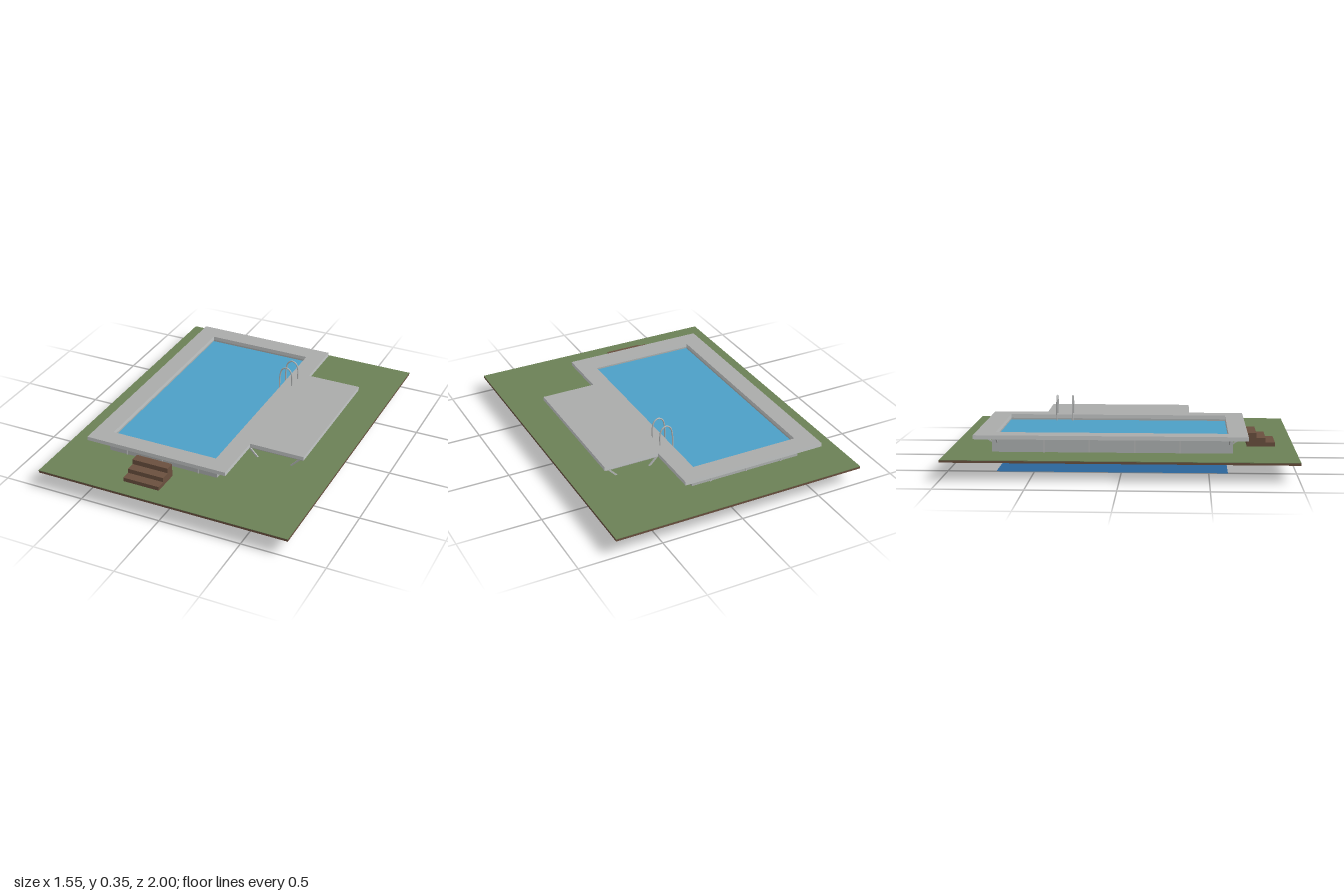
import * as THREE from 'three';

const mat = (name, color) => Object.assign(new THREE.MeshStandardMaterial({ color }), { name });

export function createModel() {
  const model = new THREE.Group();
  const grass = mat('grass', 0x6b8056);
  const wood = mat('brown wood and soil', 0x6a4f3e);
  const deckTop = mat('deck grey', 0xaaabaa);
  const edge = mat('pale edge', 0xc4c7c7);
  const wall = mat('wall grey', 0xaeb2b1);
  const steel = mat('steel', 0xb4b6b6);
  const water = mat('water blue', 0x4c9fc6);
  const liner = mat('deep blue liner', 0x2a659a);
  water.side = liner.side = THREE.DoubleSide;

  const add = (name, geometry, material, x = 0, y = 0, z = 0) => {
    const mesh = new THREE.Mesh(geometry, material);
    mesh.name = name;
    mesh.position.set(x, y, z);
    model.add(mesh);
    return mesh;
  };
  // Box from its limits
  const box = (name, m, x0, x1, y0, y1, z0, z1) =>
    add(name, new THREE.BoxGeometry(x1 - x0, y1 - y0, z1 - z0), m,
      (x0 + x1) / 2, (y0 + y1) / 2, (z0 + z1) / 2);
  // Square bar between two points
  const bar = (name, m, a, b, t) => {
    const p = new THREE.Vector3(...a), q = new THREE.Vector3(...b);
    const mesh = add(name, new THREE.BoxGeometry(t, t, p.distanceTo(q)), m);
    mesh.position.copy(p).add(q).multiplyScalar(0.5);
    mesh.lookAt(q);
    return mesh;
  };
  const rect = (Type, [x0, x1, z0, z1]) => new Type([
    [x0, z0], [x1, z0], [x1, z1], [x0, z1]].map(p => new THREE.Vector2(...p)));
  // Rectangular slab with the pool opening cut out
  const pool = [-0.5, 0.165, -0.72, 0.61];
  const frame = (name, m, outer, y0, y1) => {
    const shape = rect(THREE.Shape, outer);
    shape.holes.push(rect(THREE.Path, pool));
    const g = new THREE.ExtrudeGeometry(shape, { depth: y1 - y0, bevelEnabled: false });
    g.rotateX(Math.PI / 2);
    return add(name, g, m, 0, y1, 0);
  };
  const sheet = (name, m, y) => {
    const [x0, x1, z0, z1] = pool;
    const g = new THREE.PlaneGeometry(x1 - x0, z1 - z0).rotateX(-Math.PI / 2);
    add(name, g, m, (x0 + x1) / 2, y, (z0 + z1) / 2);
  };

  // Ground with lawn on top
  frame('ground', wood, [-0.777, 0.777, -1, 1], 0.102, 0.114);
  frame('lawn', grass, [-0.777, 0.777, -1, 1], 0.114, 0.117);

  // Pool shell, floor and water
  frame('poolWall', wall, [-0.515, 0.183, -0.74, 0.635], 0.117, 0.206);
  sheet('poolFloor', liner, 0);
  sheet('water', water, 0.196);

  // Deck around the pool and side platform
  frame('poolDeck', [deckTop, edge], [-0.613, 0.275, -0.835, 0.72], 0.206, 0.229);
  const sides = [edge, edge, deckTop, deckTop, edge, edge];
  box('sidePlatform', sides, 0.275, 0.609, 0.206, 0.229, -0.5, 0.387);
  box('platformUnderside', deckTop, 0.215, 0.6, 0.199, 0.206, -0.495, 0.382);

  // Wall posts
  for (const x of [-0.4, -0.168, 0.063])
    for (const z of [-0.74, 0.635])
      box('wallPost', steel, x - 0.005, x + 0.005, 0.117, 0.206, z - 0.005, z + 0.005);
  const rows = [0.336, 0.077, -0.182, -0.441];
  for (const z of rows)
    for (const x of [-0.515, 0.183])
      box('wallPost', steel, x - 0.005, x + 0.005, 0.117, 0.206, z - 0.005, z + 0.005);

  // Slanted platform legs
  for (const z of rows) {
    bar('platformLeg', steel, [0.217, 0.202, z], [0.302, 0.114, z], 0.009);
    bar('platformLeg', steel, [0.594, 0.202, z], [0.509, 0.114, z], 0.009);
  }

  // Corner braces under the deck overhang
  for (const [x, s] of [[-0.515, -1], [0.183, 1]])
    for (const z of [-0.71, 0.615])
      bar('sideBrace', steel, [x, 0.17, z], [x + s * 0.055, 0.206, z], 0.007);
  for (const [z, s] of [[-0.74, -1], [0.635, 1]])
    for (const x of [-0.49, 0.155])
      bar('endBrace', steel, [x, 0.17, z], [x, 0.206, z + s * 0.055], 0.007);

  // Entry steps
  [[0.725, 0.78, 0.198], [0.78, 0.835, 0.168], [0.835, 0.89, 0.141]].forEach(([z0, z1, y]) =>
    box('entryStep', wood, -0.282, -0.056, 0.117, y, z0, z1));

  // Ladder with arched handrails
  const rail = new THREE.CatmullRomCurve3([
    [0.157, 0.028], [0.148, 0.04], [0.145, 0.08], [0.145, 0.2], [0.147, 0.28], [0.16, 0.328],
    [0.188, 0.346], [0.215, 0.33], [0.226, 0.295], [0.226, 0.228],
  ].map(([x, y]) => new THREE.Vector3(x, y, 0)));
  for (const z of [-0.335, -0.432])
    add('ladderRail', new THREE.TubeGeometry(rail, 48, 0.0045, 8), steel, 0, 0, z);
  for (const y of [0.08, 0.14])
    box('ladderRung', steel, 0.131, 0.155, y - 0.003, y + 0.003, -0.432, -0.335);

  return model;
}
